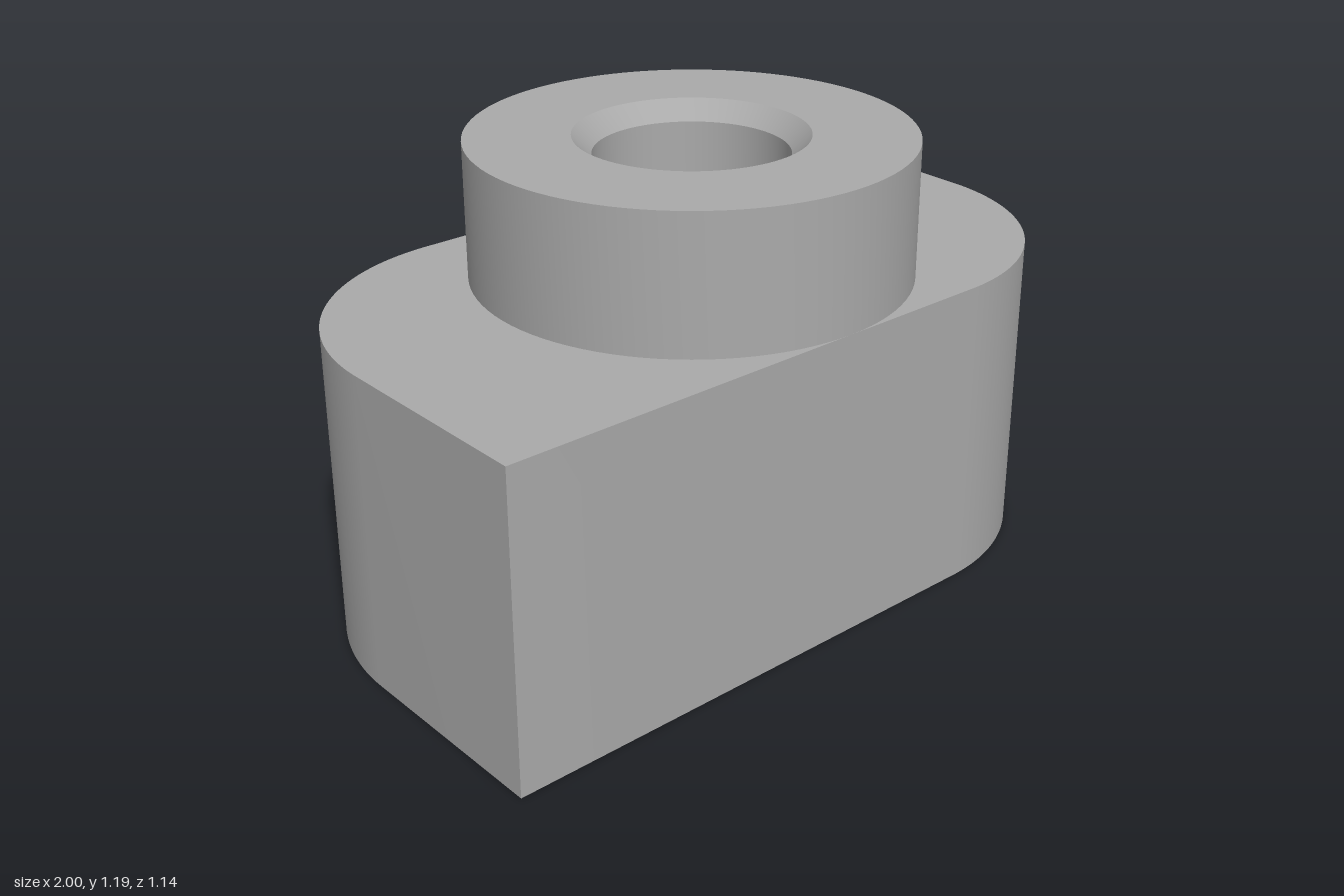
import * as THREE from 'three';
import { toCreasedNormals } from 'three/addons/utils/BufferGeometryUtils.js';

const R = 0.57;          // half depth, boss radius and corner radius
const BASE_H = 0.83;
const TOP = 1.19;
const BORE = 0.25;
const CHAMFER = 0.05;
const CREASE = 0.5;

// Block outline with two opposite corners rounded
function blockShape() {
  const s = new THREE.Shape();
  s.moveTo(-1, -R);
  s.lineTo(1 - R, -R);
  s.absarc(1 - R, 0, R, -Math.PI / 2, 0, false);
  s.lineTo(1, R);
  s.lineTo(-1 + R, R);
  s.absarc(-1 + R, 0, R, Math.PI / 2, Math.PI, false);
  s.closePath();
  const hole = new THREE.Path();
  hole.absarc(0, 0, BORE + CHAMFER, 0, Math.PI * 2, true);
  s.holes.push(hole);
  return s;
}

export function createModel() {
  const group = new THREE.Group();
  group.name = 'bossedBlock';
  const grey = new THREE.MeshStandardMaterial({ color: 0xaaaaaa });
  grey.name = 'grey';

  const add = (name, geometry) => {
    const mesh = new THREE.Mesh(toCreasedNormals(geometry, CREASE), grey);
    mesh.name = name;
    group.add(mesh);
  };

  // Base block
  const block = new THREE.ExtrudeGeometry(blockShape(), { depth: BASE_H, bevelEnabled: false, curveSegments: 48 });
  block.rotateX(-Math.PI / 2);
  add('baseBlock', block);

  // Round boss and the through bore, chamfered at both ends
  const profile = [
    [R, BASE_H], [R, TOP], [BORE + CHAMFER, TOP], [BORE, TOP - CHAMFER],
    [BORE, CHAMFER], [BORE + CHAMFER, 0],
  ].map(([r, y]) => new THREE.Vector2(r, y));
  add('bossAndBore', new THREE.LatheGeometry(profile, 96));

  return group;
}
